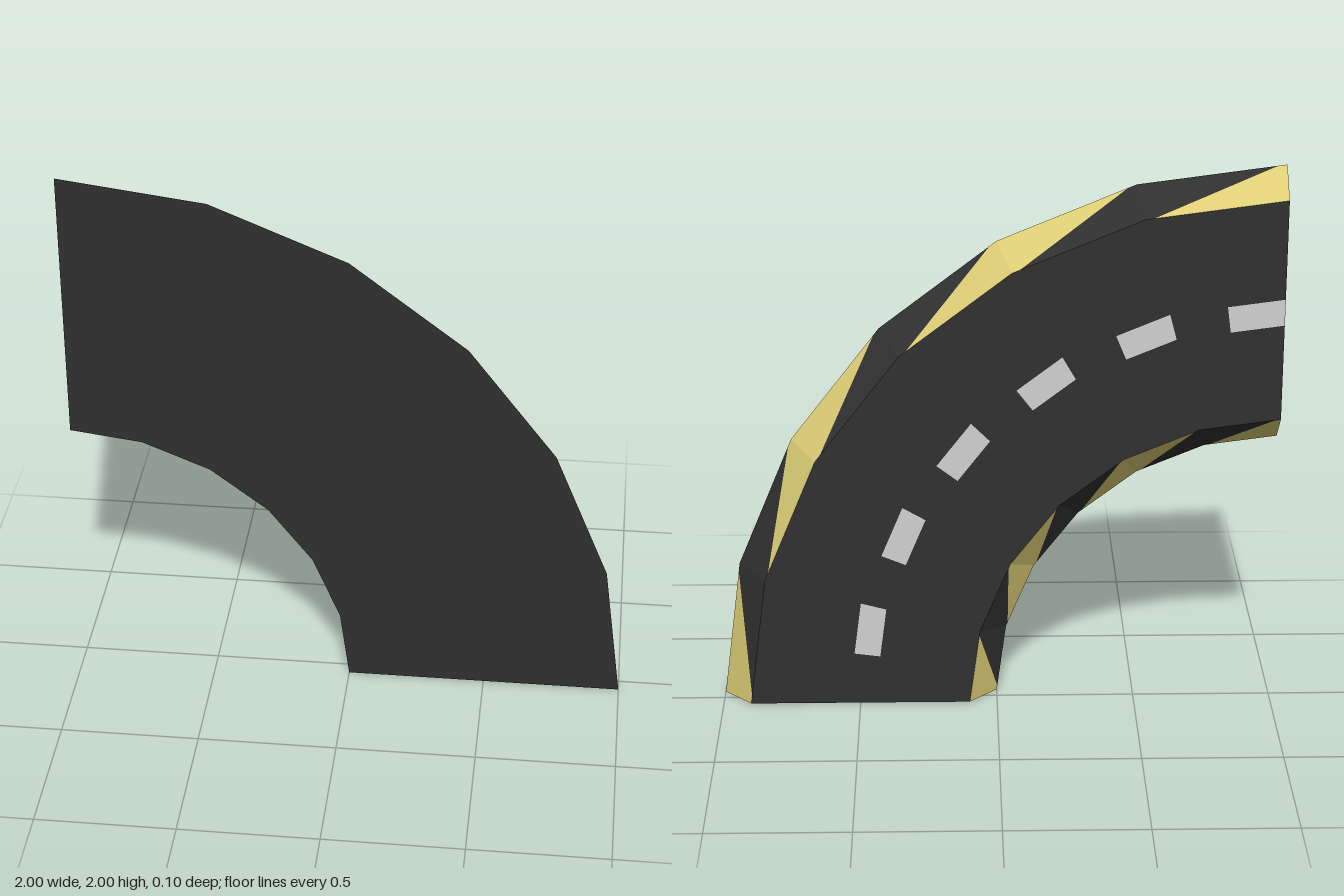
import * as THREE from 'three';

const SEGMENTS = 6;
const STEP = Math.PI / 2 / SEGMENTS;
const FRONT = 0.05, BACK = -0.05;

// Point on the faceted arc about (-1, 0): segment i, fraction t along its chord
function point(r, i, t, z) {
  const at = (k) => new THREE.Vector3(-1 + r * Math.sin(k * STEP), r * Math.cos(k * STEP), z);
  return at(i).lerp(at(i + 1), t);
}

// Flat-shaded mesh from a list of four-cornered faces
function quadMesh(name, quads, material) {
  const positions = quads.flatMap(([a, b, c, d]) => [a, b, c, a, c, d]).flatMap((v) => v.toArray());
  const geometry = new THREE.BufferGeometry();
  geometry.setAttribute('position', new THREE.Float32BufferAttribute(positions, 3));
  geometry.computeVertexNormals();
  const mesh = new THREE.Mesh(geometry, material);
  mesh.name = name;
  return mesh;
}

export function createModel() {
  const asphalt = new THREE.MeshStandardMaterial({ color: 0x303030 });
  asphalt.name = 'asphalt';
  const yellow = new THREE.MeshStandardMaterial({ color: 0xdccd75 });
  yellow.name = 'kerb yellow';
  const paint = new THREE.MeshStandardMaterial({ color: 0xd0d0d0 });
  paint.name = 'lane paint';

  const underside = [], surface = [], dashes = [], darkKerb = [], yellowKerb = [];

  for (let i = 0; i < SEGMENTS; i++) {
    // Flat underside and road surface
    underside.push([point(1, i, 0, FRONT), point(1, i, 1, FRONT), point(2, i, 1, FRONT), point(2, i, 0, FRONT)]);
    surface.push([point(1.9, i, 0, BACK), point(1.9, i, 1, BACK), point(1.1, i, 1, BACK), point(1.1, i, 0, BACK)]);

    // Lane dash on the first half of each segment
    const z = BACK - 0.002;
    dashes.push([point(1.545, i, 0, z), point(1.545, i, 0.5, z), point(1.45, i, 0.5, z), point(1.45, i, 0, z)]);

    // Sloping kerbs, each face split by a diagonal into alternating stripes
    const kerbs = [
      { front: 2, back: 1.9, tf: 0.06, tb: 0.94, flip: false },
      { front: 1, back: 1.1, tf: 0.94, tb: 0.06, flip: true },
    ];
    for (const { front, back, tf, tb, flip } of kerbs) {
      const f = (t) => point(front, i, t, FRONT);
      const b = (t) => point(back, i, t, BACK);
      const low = [f(0), f(tf), b(tb), b(0)];
      const high = [f(tf), f(1), b(1), b(tb)];
      if (flip) { low.reverse(); high.reverse(); }
      (i % 2 === 0 ? yellowKerb : darkKerb).push(low);
      (i % 2 === 0 ? darkKerb : yellowKerb).push(high);
    }
  }

  // Flat ends of the curve
  const end = (i, t) => [point(1, i, t, FRONT), point(2, i, t, FRONT), point(1.9, i, t, BACK), point(1.1, i, t, BACK)];
  const ends = [end(0, 0), end(SEGMENTS - 1, 1).reverse()];

  const model = new THREE.Group();
  model.name = 'curved road piece';
  model.add(
    quadMesh('underside', underside, asphalt),
    quadMesh('roadSurface', surface, asphalt),
    quadMesh('roadEnds', ends, asphalt),
    quadMesh('darkKerbStripes', darkKerb, asphalt),
    quadMesh('yellowKerbStripes', yellowKerb, yellow),
    quadMesh('laneDashes', dashes, paint),
  );
  return model;
}
